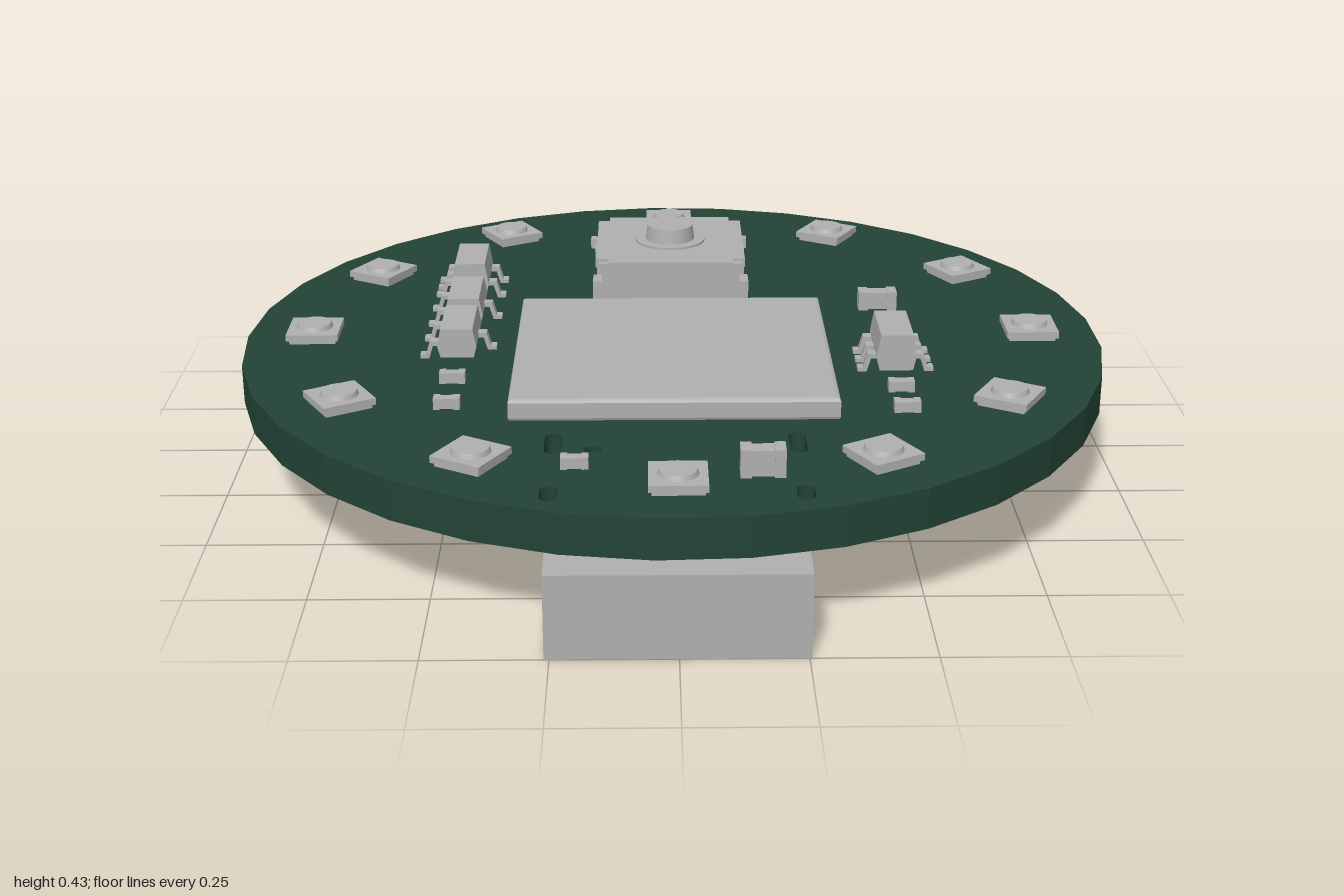
import * as THREE from 'three';

const BOARD_TOP = 0.278, BOARD_BOTTOM = 0.19, BOARD_Z = -0.02;

export function createModel() {
  const model = new THREE.Group();
  const green = new THREE.MeshStandardMaterial({ color: 0x224335 });
  green.name = 'board green';
  const grey = new THREE.MeshStandardMaterial({ color: 0xb0b0b0 });
  grey.name = 'component grey';

  const add = (parent, name, geo, x = 0, y = 0, z = 0, mat = grey) => {
    const mesh = new THREE.Mesh(geo, mat);
    mesh.name = name;
    mesh.position.set(x, y, z);
    parent.add(mesh);
    return mesh;
  };
  const group = (name, x, y, z) => {
    const g = new THREE.Group();
    g.name = name;
    g.position.set(x, y, z);
    model.add(g);
    return g;
  };
  // box standing on y
  const block = (parent, name, w, h, d, x, y, z) =>
    add(parent, name, new THREE.BoxGeometry(w, h, d), x, y + h / 2, z);
  const polygon = pts => new THREE.Shape(pts.map(p => new THREE.Vector2(...p)));
  // outline in x/z extruded upwards
  const plate = (shape, h) =>
    new THREE.ExtrudeGeometry(shape, { depth: h, bevelEnabled: false, curveSegments: 8 }).rotateX(-Math.PI / 2);
  // outline in x/y extruded along z, centred
  const bar = (pts, d) =>
    new THREE.ExtrudeGeometry(polygon(pts), { depth: d, bevelEnabled: false }).translate(0, 0, -d / 2);

  // Round board with slots and peg holes
  const rim = [];
  for (let i = 0; i < 33; i++) {
    const a = Math.PI + i / 33 * Math.PI * 2;
    rim.push([Math.cos(a) * 0.98, Math.sin(a) * 0.98 - BOARD_Z]);
  }
  const outline = polygon(rim);
  const slot = (x, z, r, half) => {
    const p = new THREE.Path();
    p.absarc(x, -z + half, r, 0, Math.PI, false);
    p.absarc(x, -z - half, r, Math.PI, Math.PI * 2, false);
    p.closePath();
    outline.holes.push(p);
  };
  for (const x of [-0.252, 0.248]) {
    slot(x, 0.605, 0.018, 0.033);
    slot(x, 0.845, 0.018, 0.016);
  }
  for (const x of [-0.17, 0.165]) {
    const p = new THREE.Path();
    p.absarc(x, -0.635, 0.018, 0, Math.PI * 2, false);
    outline.holes.push(p);
  }
  add(model, 'board', plate(outline, BOARD_TOP - BOARD_BOTTOM), 0, BOARD_BOTTOM, 0, green);

  // Ring of twelve lights
  for (let i = 0; i < 12; i++) {
    const a = i * Math.PI / 6;
    const g = group('light', Math.sin(a) * 0.825, BOARD_TOP, BOARD_Z + Math.cos(a) * 0.825);
    g.rotation.y = a;
    block(g, 'lightBase', 0.105, 0.012, 0.105, 0, 0, 0);
    block(g, 'lightBody', 0.118, 0.015, 0.118, 0, 0.009, 0);
    add(g, 'lightLens', new THREE.CylinderGeometry(0.038, 0.042, 0.011, 20), 0, 0.029, 0);
  }

  // Main processor with softened edges
  const chip = polygon([[-0.34, -0.307], [0.34, -0.307], [0.34, 0.307], [-0.34, 0.307]]);
  const chipGeo = new THREE.ExtrudeGeometry(chip, {
    depth: 0.034, bevelThickness: 0.008, bevelSize: 0.008, bevelSegments: 2,
  }).rotateX(-Math.PI / 2);
  add(model, 'processor', chipGeo, -0.003, BOARD_TOP + 0.008, 0.177);

  // Push button
  const button = group('pushButton', -0.002, BOARD_TOP, -0.4);
  block(button, 'buttonBody', 0.33, 0.085, 0.31, 0, 0, 0);
  const n = 0.15, m = 0.178;
  add(button, 'buttonCover', plate(polygon([
    [-n, -m], [n, -m], [n, -n], [m, -n], [m, n], [n, n], [n, m], [-n, m], [-n, n], [-m, n], [-m, -n], [-n, -n],
  ]), 0.022), 0, 0.085, 0);
  add(button, 'buttonCollar', new THREE.CylinderGeometry(0.085, 0.085, 0.006, 32), 0, 0.109, 0);
  add(button, 'buttonPlunger', new THREE.CylinderGeometry(0.055, 0.06, 0.04, 32), 0, 0.127, 0);
  for (const sx of [-1, 1]) {
    block(button, 'buttonSide', 0.014, 0.05, 0.2, sx * 0.171, 0.035, 0);
    for (const sz of [-1, 1]) {
      block(button, 'buttonTerminal', 0.03, 0.05, 0.05, sx * 0.172, 0, sz * 0.125);
      block(button, 'buttonCorner', 0.045, 0.02, 0.045, sx * 0.15, 0.08, sz * 0.145);
    }
  }

  // Small packages with bent legs; lists give leg offsets along z
  const leg = [[0.036, 0.03], [0.055, 0.03], [0.064, 0], [0.084, 0], [0.084, 0.009],
    [0.071, 0.009], [0.062, 0.041], [0.036, 0.041]];
  const smallPackage = (x, z, h, left, right) => {
    const g = group('smallPackage', x, BOARD_TOP, z);
    const mid = h * 0.45;
    add(g, 'packageBody', bar([[-0.037, 0.008], [0.037, 0.008], [0.044, mid], [0.036, h], [-0.036, h], [-0.044, mid]], 0.16));
    for (const [side, offsets] of [[-1, left], [1, right]]) {
      for (const o of offsets) {
        const l = add(g, 'packageLeg', bar(leg, 0.024), 0, 0, o);
        if (side < 0) l.rotation.y = Math.PI;
      }
    }
  };
  const three = [-0.053, 0, 0.053], pair = [-0.053, 0.053];
  smallPackage(-0.485, -0.345, 0.09, three, pair);
  smallPackage(-0.485, -0.14, 0.075, pair, [0]);
  smallPackage(-0.485, 0.06, 0.075, pair, [0]);
  smallPackage(0.49, 0.15, 0.09, three, three);

  // Passive parts with two end caps
  const passive = (x, y, z, w, h, d) => {
    const g = group('passive', x, y, z);
    block(g, 'passiveBody', w * 0.6, h * 0.9, d * 0.88, 0, h * 0.05, 0);
    for (const s of [-1, 1]) block(g, 'endCap', w * 0.25, h, d, s * w * 0.375, 0, 0);
  };
  for (const [x, z] of [[-0.175, -0.665], [0, -0.665], [0.17, -0.665], [0.49, -0.025], [0.49, 0.325],
    [0.49, 0.44], [-0.485, 0.265], [-0.485, 0.41], [-0.205, 0.72]]) {
    passive(x, BOARD_TOP, z, 0.056, 0.025, 0.028);
  }
  passive(0.49, BOARD_TOP, -0.197, 0.09, 0.045, 0.042);
  passive(0.168, BOARD_TOP, 0.757, 0.09, 0.06, 0.044);

  // Passive parts underneath
  for (const [x, z] of [[0.715, -0.435], [0.415, -0.735], [0, -0.85], [-0.415, -0.735], [-0.715, -0.435],
    [-0.715, 0.39], [-0.415, 0.69], [0.415, 0.69], [0.27, -0.865], [-0.26, -0.865], [0.47, -0.08],
    [0.18, -0.485], [0, 0.385], [-0.32, 0.155]]) {
    passive(x, 0.156, z, 0.056, BOARD_BOTTOM - 0.156, 0.028);
  }
  for (const x of [-0.295, 0.295]) passive(x, 0.14, 0.385, 0.08, BOARD_BOTTOM - 0.14, 0.045);

  // Flat chip and cable socket underneath
  block(model, 'lowerChip', 0.33, BOARD_BOTTOM - 0.148, 0.342, 0, 0.148, -0.018);
  block(model, 'cableSocket', 0.515, 0.18, 0.42, -0.003, 0, 0.79);

  // Coaxial sockets underneath
  const ring = [[0.04, 0.05], [0.04, 0], [0.054, 0], [0.058, 0.006], [0.058, 0.014], [0.052, 0.019],
    [0.052, 0.026], [0.058, 0.031], [0.058, 0.05]].map(p => new THREE.Vector2(...p));
  for (const s of [-1, 1]) {
    const g = group('coaxSocket', s * 0.81, 0.112, -0.02);
    add(g, 'socketBase', plate(polygon([
      [-0.07, -0.045], [-0.045, -0.07], [0.045, -0.07], [0.07, -0.045],
      [0.07, 0.045], [0.045, 0.07], [-0.045, 0.07], [-0.07, 0.045],
    ]), 0.034), 0, 0.044, 0);
    block(g, 'socketTabs', 0.04, 0.025, 0.17, 0, 0.053, 0);
    block(g, 'signalTab', 0.1, 0.02, 0.04, -s * 0.06, 0.058, 0);
    const shell = new THREE.LatheGeometry(ring, 24).toNonIndexed();
    shell.computeVertexNormals();
    add(g, 'socketShell', shell);
    add(g, 'socketPin', new THREE.CylinderGeometry(0.012, 0.01, 0.04, 12), 0, 0.026, 0);
  }
  return model;
}
